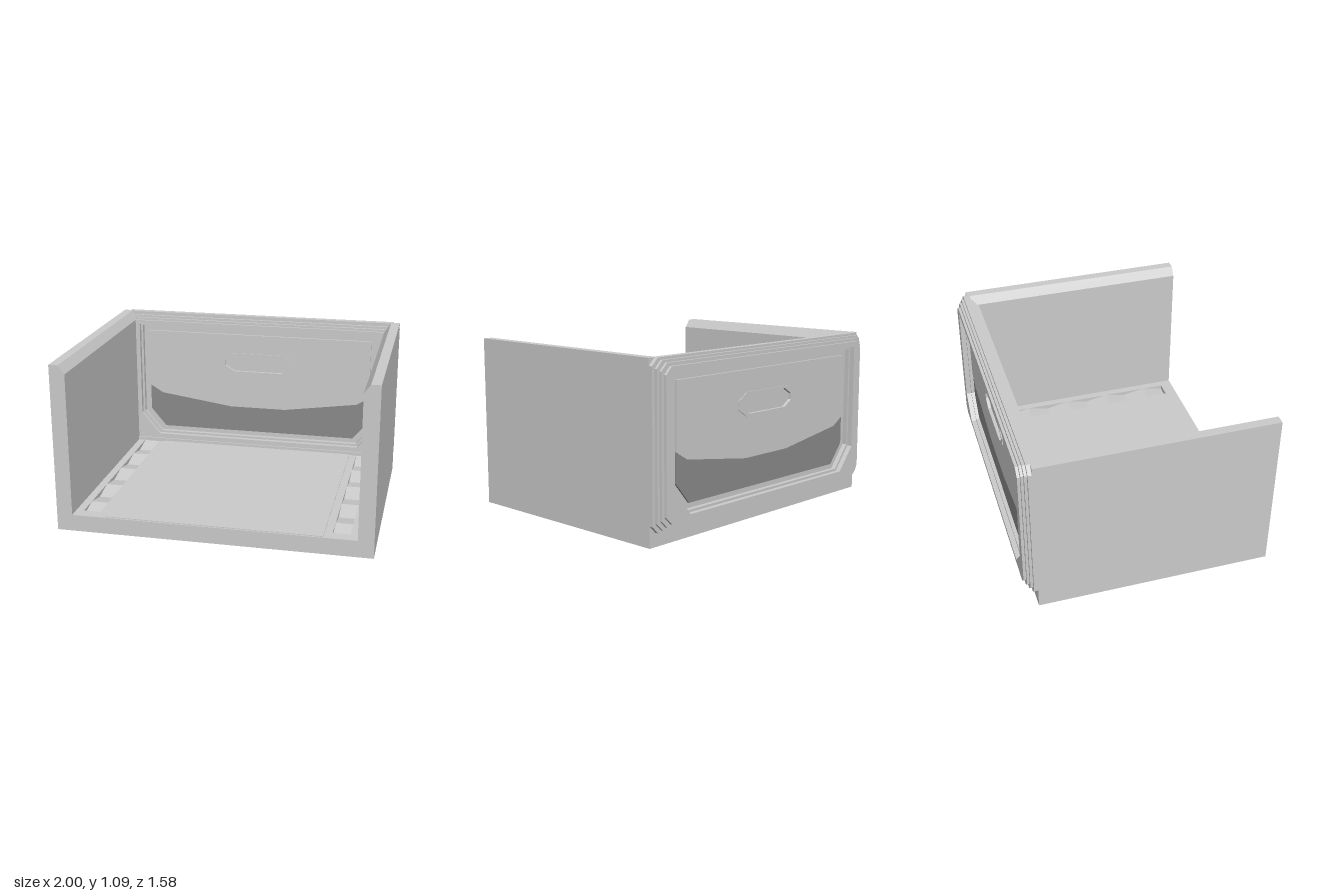
import * as THREE from 'three';

const grey = new THREE.MeshStandardMaterial({ color: 0xcccccc, flatShading: true });
const dark = new THREE.MeshStandardMaterial({ color: 0x8b8b8b, flatShading: true });

const toVectors = (points) => points.map(([x, y]) => new THREE.Vector2(x, y));

// Extrude an outline, with optional holes, from z0 to z1
function slab(outline, holes, z0, z1) {
  const shape = new THREE.Shape(toVectors(outline));
  for (const hole of holes) shape.holes.push(new THREE.Path(toVectors(hole)));
  const geometry = new THREE.ExtrudeGeometry(shape, { depth: z1 - z0, bevelEnabled: false });
  return geometry.translate(0, 0, z0);
}

// Rectangle with its top and bottom corners cut by [dx, dy]
function cutRect(w, y0, y1, [bx, by], [tx, ty] = [0, 0]) {
  const right = [[w - bx, y0], [w, y0 + by]];
  if (tx) right.push([w, y1 - ty], [w - tx, y1]);
  else right.push([w, y1]);
  return [...right, ...right.map(([x, y]) => [-x, y]).reverse()];
}

const rect = (x0, x1, y0, y1) => [[x0, y0], [x1, y0], [x1, y1], [x0, y1]];

export function createModel() {
  const model = new THREE.Group();
  const add = (name, geometry, material = grey) => {
    const mesh = new THREE.Mesh(geometry, material);
    mesh.name = name;
    model.add(mesh);
    return mesh;
  };

  const front = 0.79, back = -0.71, floorTop = 0.108, pocket = 0.075;

  // Floor: solid base, then a top layer with a slot for each rack
  add('floorBase', slab(rect(-0.9, 0.9, 0, pocket), [], back, front));
  const slots = [-1, 1].map((s) => rect(s * 0.795 - 0.055, s * 0.795 + 0.055, -0.71, 0.64));
  const top = slab(rect(-0.9, 0.9, -front, -back), slots, pocket, floorTop);
  add('floorTop', top.rotateX(-Math.PI / 2));
  add('floorPanel', slab(rect(-0.69, 0.69, floorTop, floorTop + 0.005), [], -0.64, 0.78));

  // Zigzag racks sunk in the floor
  const zigzag = [[-0.64, pocket], [0.71, pocket]];
  for (let i = 9; i >= 0; i--) zigzag.push([-0.64 + i * 0.15, i % 2 ? pocket + 0.003 : floorTop]);
  for (const side of [-1, 1]) {
    const rack = slab(zigzag, [], -0.055, 0.055).rotateY(-Math.PI / 2);
    add(side < 0 ? 'rightRack' : 'leftRack', rack).position.x = side * 0.795;
  }

  // Side walls with a sloped inner top edge
  const wall = [[0.9, 0], [1, 0], [1, 1.085], [0.94, 1.085], [0.9, 1.03]];
  add('leftWall', slab(wall, [], back, front));
  add('rightWall', slab(wall.map(([x, y]) => [-x, y]).reverse(), [], back, front));

  // Window outlines, cut at the lower corners
  const wide = cutRect(0.87, 0.165, 1.0, [0.13, 0.155]);
  const narrow = cutRect(0.855, 0.18, 0.985, [0.125, 0.15]);

  // Inner frame, stepping down towards the front
  [[1.085, -0.71, -0.69, narrow], [1.062, -0.69, -0.672, narrow],
    [1.046, -0.672, -0.655, wide], [1.03, -0.655, -0.64, wide]].forEach(([y, z0, z1, hole], i) => {
    const x = 0.9 + (y - 1.03) * 0.73;
    const outline = [[-0.9, 0.1], [0.9, 0.1], [0.9, 1.03], [-0.9, 1.03]];
    if (y > 1.03) outline.splice(3, 0, [x, y], [-x, y]);
    add('innerFrame' + (i + 1), slab(outline, [hole], z0, z1));
  });
  add('lowerRail', slab(rect(-0.9, 0.9, 0.1, 0.132), [], -0.64, -0.63));

  // Outer frame, stepping in towards the back
  [[1.0, 0.085, 1.085, -0.735, -0.71, narrow], [0.98, 0.1, 1.07, -0.752, -0.735, narrow],
    [0.96, 0.115, 1.055, -0.768, -0.752, wide], [0.94, 0.135, 1.035, -0.785, -0.768, wide],
  ].forEach(([w, y0, y1, z0, z1, hole], i) => {
    add('outerFrame' + (i + 1), slab(cutRect(w, y0, y1, [0.045, 0.045], [0.045, 0.045]), [hole], z0, z1));
  });

  // Recessed web that carries the panel
  const grip = cutRect(0.24, 0.673, 0.792, [0.065, 0.04], [0.065, 0.04]);
  const rim = cutRect(0.275, 0.658, 0.808, [0.08, 0.05], [0.08, 0.05]);
  add('panelWeb', slab(cutRect(0.88, 0.15, 1.01, [0.13, 0.155]), [], -0.722, -0.703));

  // Upper panel with a curved lower edge and a grip pocket
  const curve = [[-0.81, 0.53], [-0.72, 0.475], [-0.2, 0.4], [0.2, 0.4], [0.72, 0.475], [0.81, 0.53]];
  add('upperPanel', slab([...curve, [0.81, 0.945], [-0.81, 0.945]], [rim], -0.738, -0.687));
  add('gripRim', slab(rim, [grip], -0.743, -0.682));

  // Lower panel, slightly thinner
  const lower = [[-0.7, 0.215], [0.7, 0.215], [0.81, 0.345], ...curve.slice().reverse(), [-0.81, 0.345]];
  add('lowerPanel', slab(lower, [], -0.734, -0.691), dark);

  return model;
}
